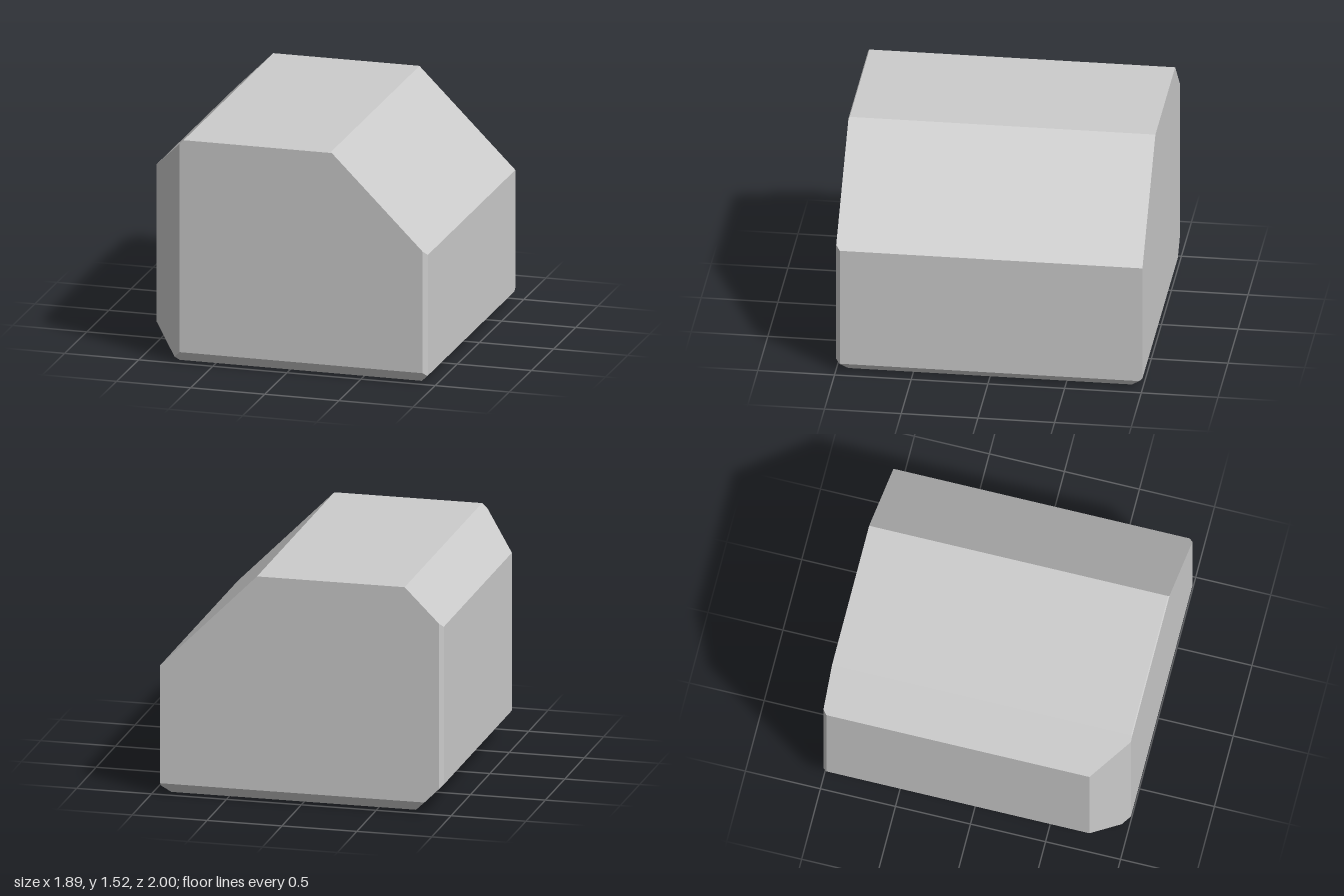
import * as THREE from 'three';
import { ConvexGeometry } from 'three/addons/geometries/ConvexGeometry.js';

// Each plane is [nx, ny, nz, d]; the solid lies where n . p <= d.
const PLANES = [
  // six faces of the block
  [1, 0, 0, 0.943], [-1, 0, 0, 0.945],
  [0, 1, 0, 1.517], [0, -1, 0, 0],
  [0, 0, 1, 1], [0, 0, -1, 1],
  // bevels along the top edges
  [1, 1, 0, 1.813], [-1, 1, 0, 2.207], [0, 1, 1, 2.51],
  // bevels along the bottom edges
  [1, -1, 0, 0.888], [-1, -1, 0, 0.746], [0, -1, 1, 0.924], [0, -1, -1, 0.924],
  // bevels along the upright edges
  [1, 0, 1, 1.916], [-1, 0, 1, 1.724], [-1, 0, -1, 1.92],
];

// Corners of the solid: points where three planes meet inside all the others.
function cornersOf(planes) {
  const corners = [];
  const normals = planes.map(([x, y, z]) => new THREE.Vector3(x, y, z));
  const m = new THREE.Matrix3();
  for (let a = 0; a < planes.length; a++) {
    for (let b = a + 1; b < planes.length; b++) {
      for (let c = b + 1; c < planes.length; c++) {
        const [A, B, C] = [planes[a], planes[b], planes[c]];
        m.set(A[0], A[1], A[2], B[0], B[1], B[2], C[0], C[1], C[2]);
        if (Math.abs(m.determinant()) < 1e-6) continue;
        const p = new THREE.Vector3(A[3], B[3], C[3]).applyMatrix3(m.invert());
        const inside = planes.every((q, i) => normals[i].dot(p) <= q[3] + 1e-6);
        if (inside && !corners.some((k) => k.distanceTo(p) < 1e-4)) corners.push(p);
      }
    }
  }
  return corners;
}

export function createModel() {
  const group = new THREE.Group();
  group.name = 'bevelledBlock';

  // one block with uneven 45 degree bevels
  const material = new THREE.MeshStandardMaterial({ color: 0xcccccc, flatShading: true });
  const block = new THREE.Mesh(new ConvexGeometry(cornersOf(PLANES)), material);
  block.name = 'block';
  group.add(block);

  return group;
}
